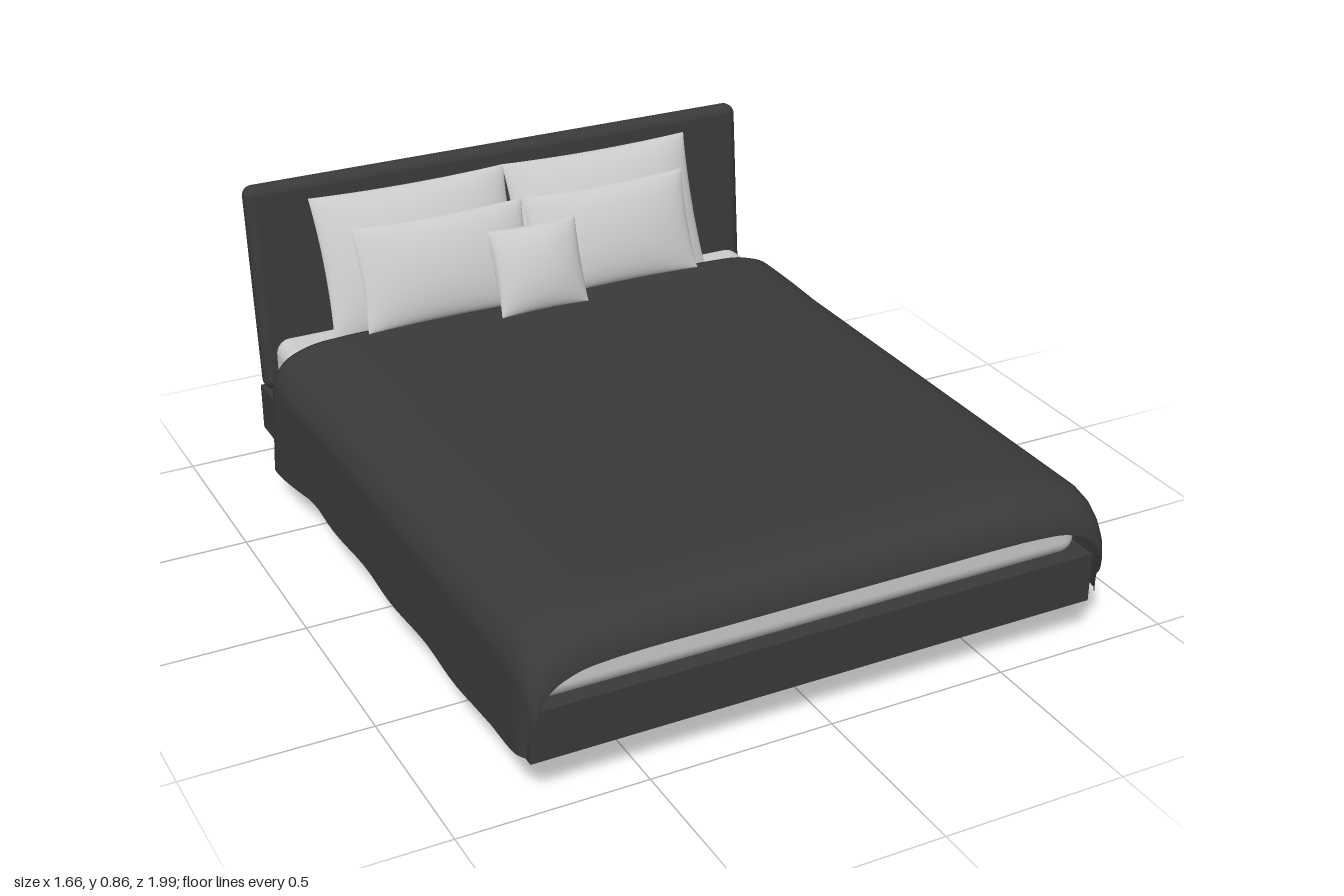
import * as THREE from 'three';
import { RoundedBoxGeometry } from 'three/addons/geometries/RoundedBoxGeometry.js';
import { mergeGeometries } from 'three/addons/utils/BufferGeometryUtils.js';

const grey = new THREE.MeshStandardMaterial({ color: 0xcccccc });
const dark = new THREE.MeshStandardMaterial({ color: 0x3a3a3a });
const cloth = new THREE.MeshStandardMaterial({ color: 0x3a3a3a, side: THREE.DoubleSide });

// Smooth grid surface from a rule (u, v) -> [x, y, z]
function surface(nu, nv, rule) {
  const pos = [], index = [];
  for (let j = 0; j <= nv; j++)
    for (let i = 0; i <= nu; i++) pos.push(...rule(i / nu, j / nv));
  for (let j = 0; j < nv; j++)
    for (let i = 0; i < nu; i++) {
      const a = j * (nu + 1) + i, b = a + 1, c = a + nu + 1, d = c + 1;
      index.push(a, b, d, a, d, c);
    }
  const g = new THREE.BufferGeometry();
  g.setAttribute('position', new THREE.Float32BufferAttribute(pos, 3));
  g.setIndex(index);
  g.computeVertexNormals();
  return g;
}

// Cushion: two bulging faces meeting at a pinched seam
function pillowGeometry(w, h, t) {
  const face = (side) => surface(28, 28, (u, v) => {
    // cosine spacing packs the rows close to the seam
    const s = -side * Math.cos(Math.PI * u), r = -Math.cos(Math.PI * v);
    const bulge = Math.pow((1 - s * s) * (1 - r * r), 0.55);
    const x = s * (1 - 0.035 * (1 - r * r) * s * s);
    const y = r * (1 - 0.035 * (1 - s * s) * r * r);
    return [x * w / 2, y * h / 2, side * (bulge * t / 2 + 0.003)];
  });
  return mergeGeometries([face(1), face(-1)]);
}

// Bedspread: a draped cross-section swept from foot to head
function blanketGeometry() {
  const half = [[0.3, 0.46], [0.6, 0.46], [0.7, 0.45], [0.77, 0.418], [0.805, 0.36], [0.812, 0.28], [0.816, 0.2], [0.82, 0.12]];
  const points = [
    ...half.map(([x, y]) => new THREE.Vector3(-x, y, 0)).reverse(),
    new THREE.Vector3(0, 0.46, 0),
    ...half.map(([x, y]) => new THREE.Vector3(x, y, 0)),
  ];
  const section = new THREE.CatmullRomCurve3(points).getPoints(96);
  // rows of z, inward roll, hem height, outward flare
  const rows = [
    [0.998, 0.1, 0.14, 0], [0.995, 0.08, 0.14, 0], [0.982, 0.05, 0.14, 0], [0.96, 0.027, 0.138, 0],
    [0.93, 0.01, 0.136, 0], [0.88, 0, 0.132, 0], [0.8, 0, 0.128, 0],
  ];
  for (let z = 0.7; z > -0.42; z -= 0.05) rows.push([z, 0, 0.117 + 0.012 * z, 0]);
  rows.push([-0.47, 0, 0.108, 0.004], [-0.55, 0, 0.098, 0.008], [-0.64, 0, 0.088, 0.01],
    [-0.71, 0, 0.08, 0.01], [-0.73, 0.006, 0.078, 0.01], [-0.737, 0.03, 0.08, 0.008]);
  const n = rows.length - 1;
  return surface(96, n, (u, v) => {
    const p = section[Math.round(u * 96)], [z, roll, hem, flare] = rows[Math.round(v * n)];
    const top = THREE.MathUtils.smoothstep(p.y, 0.14, 0.36);
    const droop = 1 - THREE.MathUtils.smoothstep(p.y, 0.12, 0.36);
    const side = Math.min(1, Math.abs(p.x) / 0.8);
    const wave = 0.004 * Math.sin(z * 15 + Math.sign(p.x)) * droop;
    const x = p.x + Math.sign(p.x) * (flare * side ** 4 + wave - 0.2 * roll * side);
    const back = z > 0.9 ? 0.03 * droop * (z - 0.9) / 0.1 : 0;
    const sag = z > 0.9 ? 0.012 * (1 - side ** 4) * (z - 0.9) / 0.1 : 0;
    return [x, p.y - roll * top + (hem - 0.12) * droop, z - back - sag];
  });
}

export function createModel() {
  const group = new THREE.Group();
  const add = (name, geometry, material, x = 0, y = 0, z = 0, tilt = 0) => {
    const mesh = new THREE.Mesh(geometry, material);
    mesh.name = name;
    mesh.position.set(x, y, z);
    mesh.rotation.x = tilt;
    group.add(mesh);
    return mesh;
  };

  // Recessed plinth with sloping sides
  const outline = new THREE.Shape([[-0.54, 0], [0.54, 0], [0.67, 0.11], [-0.67, 0.11]].map((p) => new THREE.Vector2(...p)));
  add('plinth', new THREE.ExtrudeGeometry(outline, { depth: 1.555, bevelEnabled: false }), dark, 0, 0, -0.857);

  // Frame, leaning headboard and mattress
  add('bedFrame', new THREE.BoxGeometry(1.58, 0.138, 1.9), dark, 0, 0.18, 0.01);
  add('headboard', new RoundedBoxGeometry(1.58, 0.615, 0.066, 5, 0.03), dark, 0, 0.555, -0.936, -0.09);
  add('mattress', new RoundedBoxGeometry(1.52, 0.172, 1.83, 5, 0.045), grey, 0, 0.334, 0.025);

  add('blanket', blanketGeometry(), cloth);

  // Pillows, each leaning from its bottom edge to its top edge (z, y)
  const pillow = (name, x0, x1, [z0, y0], [z1, y1], thickness) => {
    const h = Math.hypot(z1 - z0, y1 - y0);
    add(name, pillowGeometry(x1 - x0, h, thickness), grey,
      (x0 + x1) / 2, (y0 + y1) / 2, (z0 + z1) / 2, -Math.atan2(z0 - z1, y1 - y0));
  };
  pillow('rightBackPillow', -0.62, -0.015, [-0.745, 0.425], [-0.9, 0.818], 0.135);
  pillow('leftBackPillow', -0.02, 0.585, [-0.745, 0.425], [-0.9, 0.818], 0.135);
  pillow('rightMiddlePillow', -0.545, -0.015, [-0.665, 0.475], [-0.775, 0.755], 0.1);
  pillow('leftMiddlePillow', -0.015, 0.512, [-0.665, 0.475], [-0.775, 0.755], 0.1);
  pillow('smallCushion', -0.158, 0.118, [-0.605, 0.468], [-0.695, 0.705], 0.09);

  return group;
}
